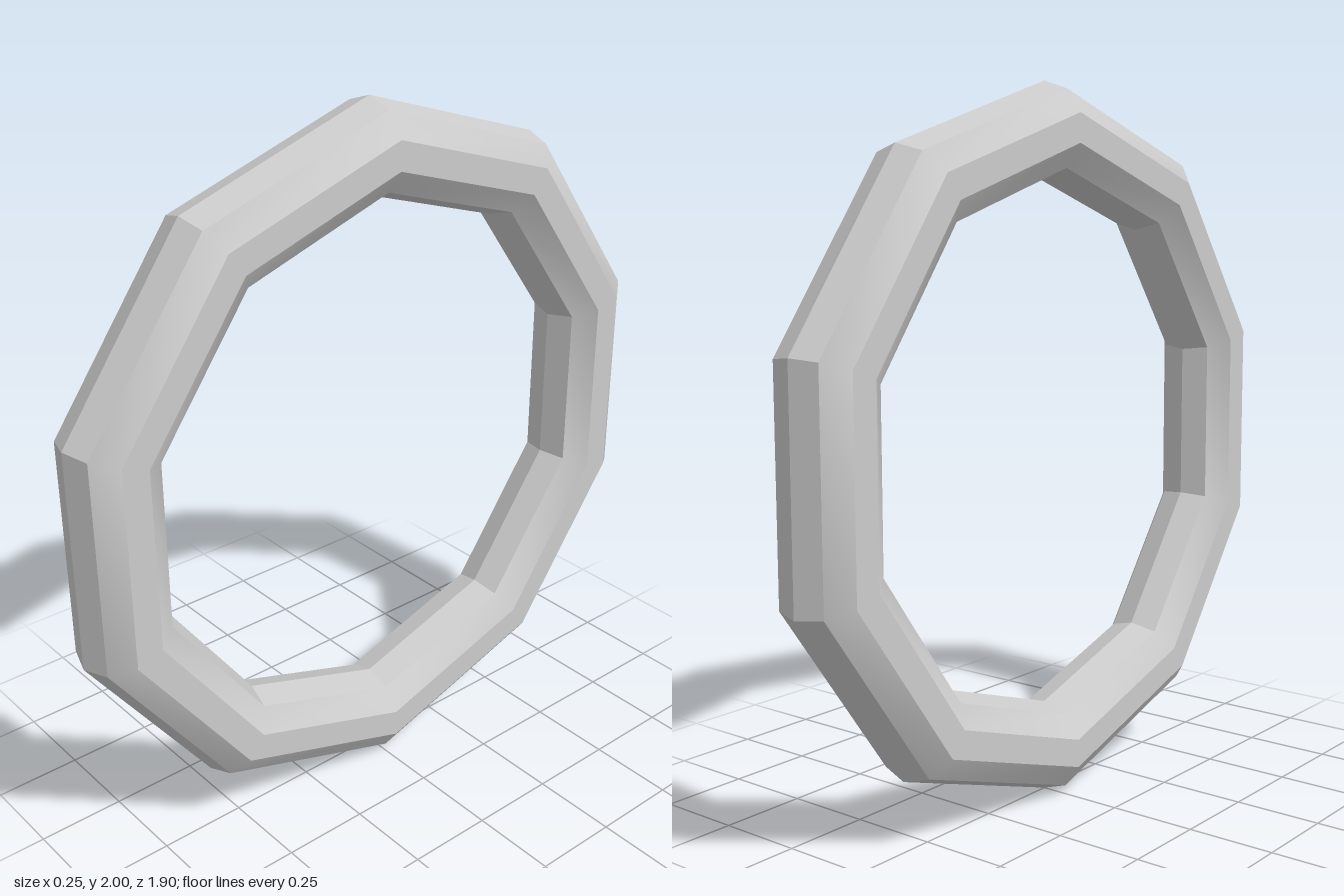
import * as THREE from 'three';
import { toCreasedNormals } from 'three/addons/utils/BufferGeometryUtils.js';

const TUBE = 0.13; // radius of the ten-sided section
const SIDES = 10;

export function createModel() {
  const group = new THREE.Group();
  group.name = 'ringModel';

  // Ten-segment ring standing upright, one corner at the top, its axis along x
  const torus = new THREE.TorusGeometry(1 - TUBE, TUBE, SIDES, SIDES);
  torus.rotateZ(Math.PI / 2);
  torus.rotateY(Math.PI / 2);
  torus.translate(0, 1, 0);

  // Sharp folds on the outer and inner faces, softer bands on the flanks
  const ring = new THREE.Mesh(
    toCreasedNormals(torus, Math.PI / 6),
    new THREE.MeshStandardMaterial({ color: 0xcccccc })
  );
  ring.name = 'ring';
  group.add(ring);
  return group;
}
